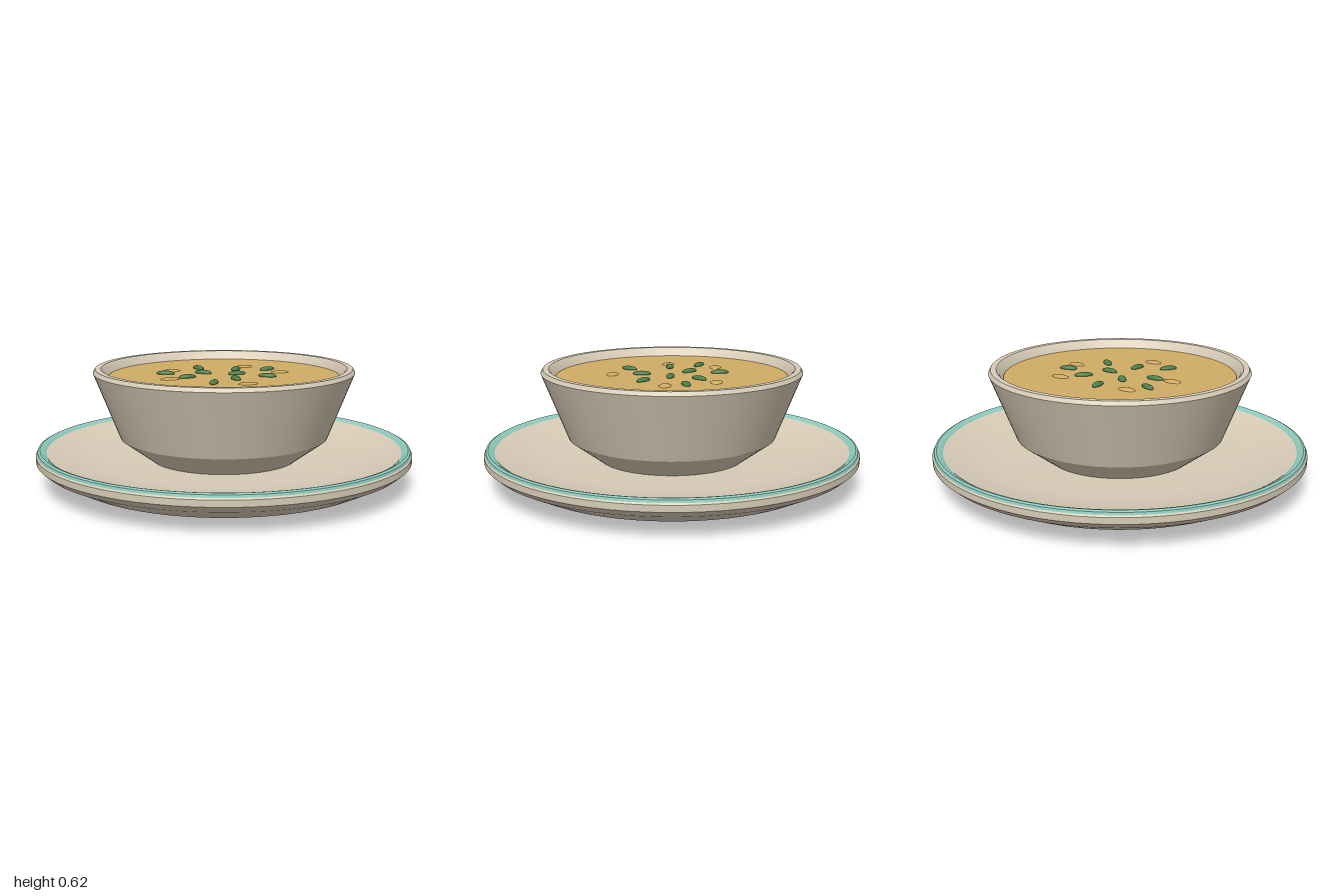
import * as THREE from 'three';
import { toCreasedNormals } from 'three/addons/utils/BufferGeometryUtils.js';

const material = (name, color) => {
  const m = new THREE.MeshStandardMaterial({ color });
  m.name = name;
  return m;
};

export function createModel() {
  const group = new THREE.Group();
  const cream = material('cream ceramic', 0xd8ccb7);
  const teal = material('teal glaze', 0x8fcabd);
  const soupColor = material('golden soup', 0xd0ad65);
  const green = material('green seed', 0x4a7d4a);

  const add = (name, geometry, mat) => {
    const mesh = new THREE.Mesh(geometry, mat);
    mesh.name = name;
    group.add(mesh);
    return mesh;
  };
  // Turned part: profile runs from the underside, outward and over the top
  const turned = (name, profile, mat) => add(name, toCreasedNormals(
    new THREE.LatheGeometry(profile.map(([r, y]) => new THREE.Vector2(r, y)), 72), 0.4), mat);

  // Saucer with sloped underside and shallow dish
  turned('saucer', [
    [0, 0], [0.68, 0], [0.82, 0.04], [0.96, 0.11], [1, 0.145], [1, 0.178], [0.985, 0.197],
    [0.945, 0.188], [0.85, 0.162], [0.74, 0.141], [0.62, 0.131], [0, 0.13],
  ], cream);

  // Glazed band along the saucer rim
  turned('rimBand', [
    [0.994, 0.186], [0.99, 0.199], [0.978, 0.205], [0.965, 0.202], [0.945, 0.189],
  ], teal);

  // Bowl with tapered foot, flared wall and hollow lip
  turned('bowl', [
    [0, 0.125], [0.385, 0.125], [0.555, 0.25], [0.692, 0.6], [0.68, 0.62],
    [0.65, 0.62], [0.635, 0.605], [0.605, 0.55], [0, 0.55],
  ], cream);

  // Soup surface
  const soup = add('soup', new THREE.CylinderGeometry(0.614, 0.604, 0.025, 72), soupColor);
  soup.position.y = 0.5625;

  // Low swells on the soup
  const swell = new THREE.SphereGeometry(1, 20, 12);
  for (const [x, z] of [[-0.235, -0.215], [0.195, -0.25], [0.315, 0], [-0.31, 0.055], [0.03, 0.315]]) {
    const mesh = add('soupSwell', swell, soupColor);
    mesh.position.set(x, 0.574, z);
    mesh.scale.set(0.052, 0.01, 0.032);
  }

  // Scattered seeds: x, z, turn in degrees
  const seed = new THREE.SphereGeometry(1, 20, 14);
  const seeds = [
    [-0.07, -0.25, -76], [0.117, -0.155, 52], [-0.29, -0.12, -22], [-0.09, -0.085, -42],
    [0.28, -0.102, 22], [0.072, 0, 0], [-0.212, 0.036, 8], [0.2, 0.125, -32],
    [0.014, 0.16, -87], [-0.13, 0.248, 62],
  ];
  for (const [x, z, turn] of seeds) {
    const mesh = add('seed', seed, green);
    mesh.position.set(x, 0.58, z);
    mesh.scale.set(0.049, 0.014, 0.021);
    mesh.rotation.y = THREE.MathUtils.degToRad(turn);
  }
  return group;
}
